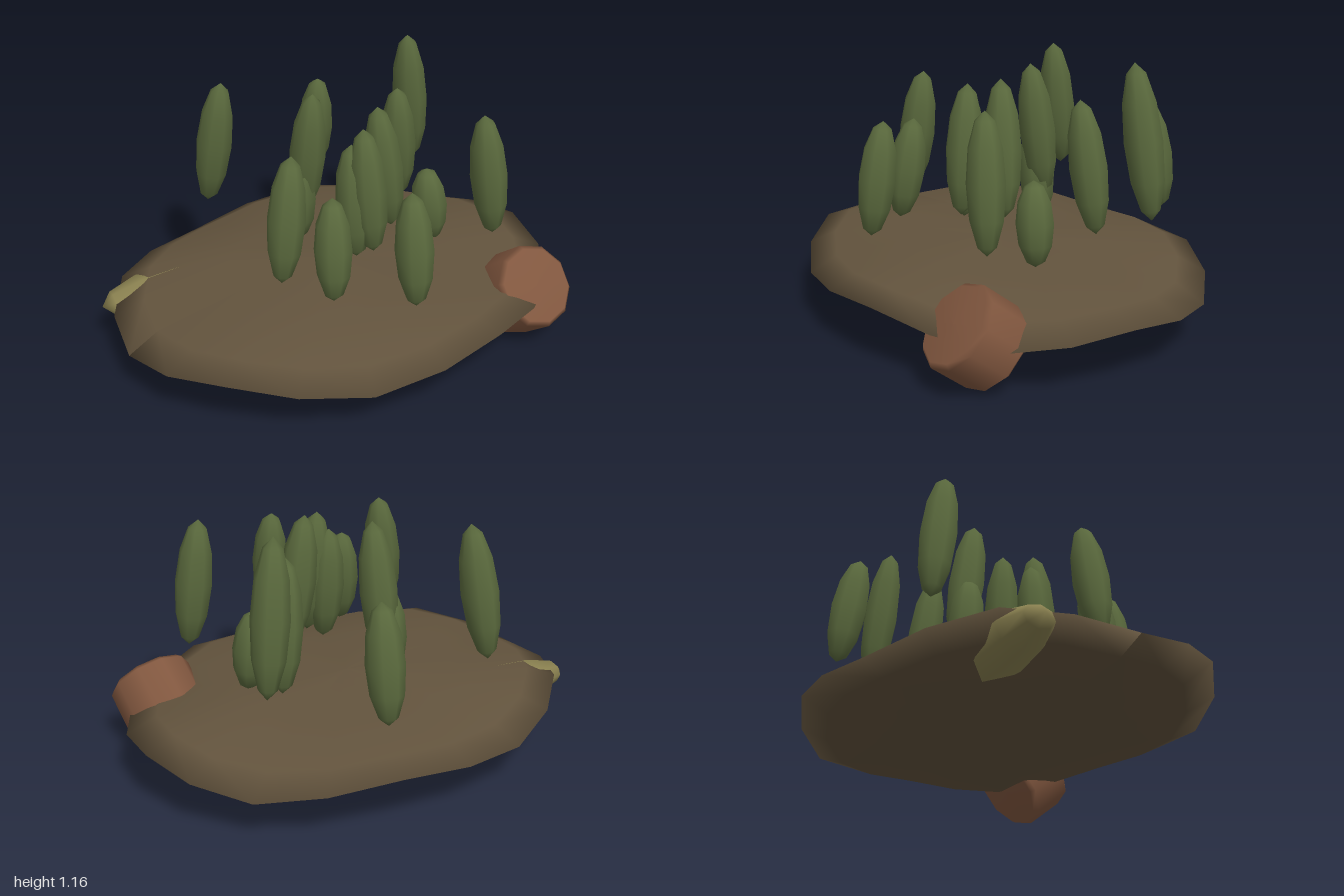
import * as THREE from 'three';

const mat = (name, color) => {
  const m = new THREE.MeshStandardMaterial({ color });
  m.name = name;
  return m;
};

export function createModel() {
  const group = new THREE.Group();
  const soil = mat('soil brown', 0x62533d);
  const leaf = mat('leaf green', 0x5a693d);
  const clay = mat('clay red', 0x81573f);
  const straw = mat('straw olive', 0x8a8150);
  const add = (geo, material, name) => {
    const mesh = new THREE.Mesh(geo, material);
    mesh.name = name;
    group.add(mesh);
    return mesh;
  };

  // Flat oval mound whose rim waves up and down five times
  const moundGeo = new THREE.SphereGeometry(1, 20, 6);
  moundGeo.scale(1, 0.1175, 0.81);
  const p = moundGeo.attributes.position;
  for (let i = 0; i < p.count; i++) {
    const x = p.getX(i), z = p.getZ(i) / 0.81;
    const wave = 0.033 * Math.cos(5 * Math.atan2(z, x)) * (x * x + z * z) ** 2;
    p.setY(i, p.getY(i) + wave);
  }
  moundGeo.computeVertexNormals();
  add(moundGeo, soil, 'mound').position.y = 0.237;

  // Slim leaning leaf clumps: bottom x, y, z, top x, y, z
  const clumps = [
    [0.28, 0.44, -0.64, 0.26, 0.93, -0.56],
    [-0.35, 0.5, -0.52, -0.3, 1.085, -0.44],
    [0.635, 0.535, -0.33, 0.555, 1.175, -0.28],
    [-0.03, 0.48, -0.23, -0.02, 1.075, -0.15],
    [-0.055, 0.36, -0.22, -0.07, 0.78, -0.2],
    [0.46, 0.45, -0.18, 0.4, 1.01, -0.13],
    [0.445, 0.355, 0.1, 0.41, 0.71, 0.09],
    [0.555, 0.49, 0.385, 0.495, 1.05, 0.36],
    [-0.245, 0.41, 0.37, -0.215, 0.85, 0.31],
    [-0.41, 0.48, 0.235, -0.335, 1.02, 0.2],
    [0.215, 0.5, 0.11, 0.145, 1.07, 0.09],
    [-0.01, 0.45, 0.18, -0.015, 0.96, 0.14],
    [0.045, 0.48, 0.225, 0.02, 1.035, 0.175],
    [-0.01, 0.44, 0.615, 0.0, 0.92, 0.55],
  ];
  const up = new THREE.Vector3(0, 1, 0);
  const clumpGeo = new THREE.SphereGeometry(1, 8, 6);
  for (const c of clumps) {
    const low = new THREE.Vector3(c[0], c[1], c[2]);
    const axis = new THREE.Vector3(c[3], c[4], c[5]).sub(low);
    const mesh = add(clumpGeo, leaf, 'leafClump');
    mesh.position.copy(low).addScaledVector(axis, 0.5);
    mesh.scale.set(0.08, axis.length() / 2, 0.08);
    mesh.quaternion.setFromUnitVectors(up, axis.normalize());
  }

  // Squat tilted boulder at the front corner
  const profile = [[0, -0.118], [0.165, -0.114], [0.184, -0.095], [0.184, 0.095], [0.165, 0.114], [0, 0.118]]
    .map(([r, y]) => new THREE.Vector2(r, y));
  const boulder = add(new THREE.LatheGeometry(profile, 10), clay, 'boulder');
  boulder.position.set(0.655, 0.22, 0.495);
  boulder.rotation.x = Math.atan2(0.78, 0.62);

  // Straw pod half buried under the back edge
  const podGeo = new THREE.SphereGeometry(1, 8, 6);
  podGeo.rotateZ(Math.PI / 2);
  podGeo.scale(0.375, 0.095, 0.13);
  const pod = add(podGeo, straw, 'buriedPod');
  pod.position.set(-0.58, 0.23, -0.34);
  pod.rotation.set(0.1, -0.08, 0.04);

  return group;
}
